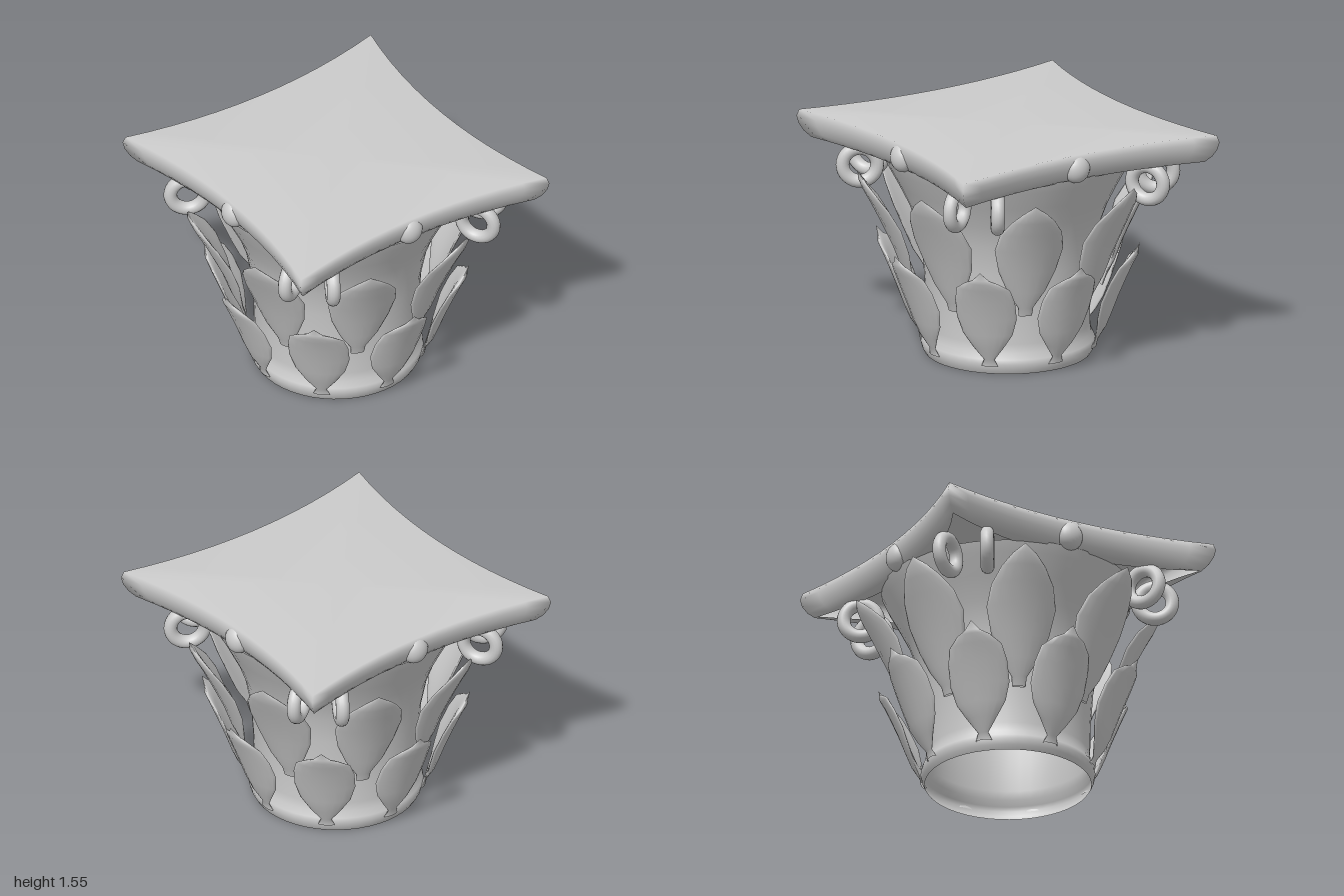
import * as THREE from 'three';

const stone = new THREE.MeshStandardMaterial({ color: 0xcccccc, side: THREE.DoubleSide });
stone.name = 'pale stone';

function mesh(name, geometry) {
  const m = new THREE.Mesh(geometry, stone);
  m.name = name;
  return m;
}

// Joins closed cross-section loops, listed from bottom to top
function loft(rings) {
  const n = rings[0].length;
  const index = [];
  for (let i = 0; i < rings.length - 1; i++) {
    for (let j = 0; j < n; j++) {
      const k = (j + 1) % n;
      const a = i * n + j, b = i * n + k, c = a + n, d = b + n;
      index.push(a, b, c, b, d, c);
    }
  }
  const g = new THREE.BufferGeometry();
  g.setAttribute('position', new THREE.Float32BufferAttribute(rings.flat(2), 3));
  g.setIndex(index);
  g.computeVertexNormals();
  return g;
}

// Square loop with concave sides at height y
function concaveSquare(middle, corner, y) {
  const steps = 12;
  const ring = [];
  for (let side = 0; side < 4; side++) {
    for (let i = 0; i < steps; i++) {
      const u = 1 - (2 * i) / steps;
      const p = new THREE.Vector2(middle + (corner - middle) * u * u, u * corner);
      p.rotateAround(new THREE.Vector2(), -side * Math.PI / 2);
      ring.push([p.x, y, p.y]);
    }
  }
  return ring;
}

// Slab with a rounded edge and an underside lip that is open at the corners
function abacusGeometry() {
  return loft([
    [0.7, 0.92, 1.375], [0.805, 0.93, 1.37], [0.835, 0.965, 1.41], [0.856, 0.99, 1.46],
    [0.865, 1, 1.51], [0.855, 0.987, 1.555], [0, 0, 1.555],
  ].map((row) => concaveSquare(...row)));
}

// Leaf rows are [height, radius from the axis, half width]
function leafGeometry(rows) {
  const n = 16;
  return loft(rows.map(([y, r, w]) => {
    const ring = [];
    const thick = 0.024 * Math.min(1, w / 0.1);
    for (let j = 0; j < n; j++) {
      const a = (j / n) * Math.PI * 2;
      const x = w * Math.cos(a);
      ring.push([x, y, r - thick * Math.sin(a) - 1.3 * x * x]);
    }
    return ring;
  }));
}

function leafRing(name, rows, offset) {
  const group = new THREE.Group();
  group.name = name;
  const geometry = leafGeometry(rows);
  for (let i = 0; i < 8; i++) {
    const leaf = mesh('leaf', geometry);
    leaf.rotation.y = offset + i * Math.PI / 4;
    group.add(leaf);
  }
  return group;
}

export function createModel() {
  const model = new THREE.Group();
  model.name = 'column capital';

  // Flared bell with a rounded foot, open below
  const bell = [[0.545, 0], [0.562, 0.03], [0.572, 0.07], [0.565, 0.1], [0.545, 0.14], [0.537, 0.2], [0.54, 0.4],
    [0.56, 0.68], [0.6, 0.88], [0.655, 1.03], [0.73, 1.18], [0.8, 1.31], [0.83, 1.38]];
  model.add(mesh('bell', new THREE.LatheGeometry(bell.map(([x, y]) => new THREE.Vector2(x, y)), 48)));

  model.add(mesh('abacus', abacusGeometry()));

  // Two staggered rows of leaves
  model.add(leafRing('lower leaves', [
    [0.06, 0.575, 0.055], [0.11, 0.59, 0.035], [0.2, 0.63, 0.1], [0.3, 0.67, 0.165], [0.42, 0.715, 0.2],
    [0.55, 0.77, 0.2], [0.65, 0.815, 0.178], [0.705, 0.845, 0.11], [0.73, 0.855, 0.055], [0.79, 0.882, 0],
  ], 0));
  model.add(leafRing('upper leaves', [
    [0.42, 0.62, 0.045], [0.48, 0.64, 0.05], [0.6, 0.685, 0.125], [0.75, 0.74, 0.19], [0.92, 0.82, 0.228],
    [1.05, 0.885, 0.205], [1.15, 0.94, 0.145], [1.22, 0.975, 0.08], [1.28, 1.0, 0],
  ], Math.PI / 8));

  // A pair of ring scrolls under each corner, a button on each side
  const ringGeometry = new THREE.TorusGeometry(0.113, 0.045, 14, 32);
  const buttonGeometry = new THREE.SphereGeometry(0.092, 24, 16).scale(1, 1.04, 0.8);
  for (let i = 0; i < 4; i++) {
    const quarter = new THREE.Group();
    quarter.name = 'side ornaments';
    quarter.rotation.y = i * Math.PI / 2;
    for (const [x, z, degrees] of [[0.775, 0.585, 31], [0.585, 0.775, 59]]) {
      const ring = mesh('scroll ring', ringGeometry);
      ring.position.set(x, 1.245, z);
      ring.rotation.y = -THREE.MathUtils.degToRad(degrees);
      quarter.add(ring);
    }
    const button = mesh('button', buttonGeometry);
    button.position.set(0, 1.453, 0.825);
    quarter.add(button);
    model.add(quarter);
  }
  return model;
}
